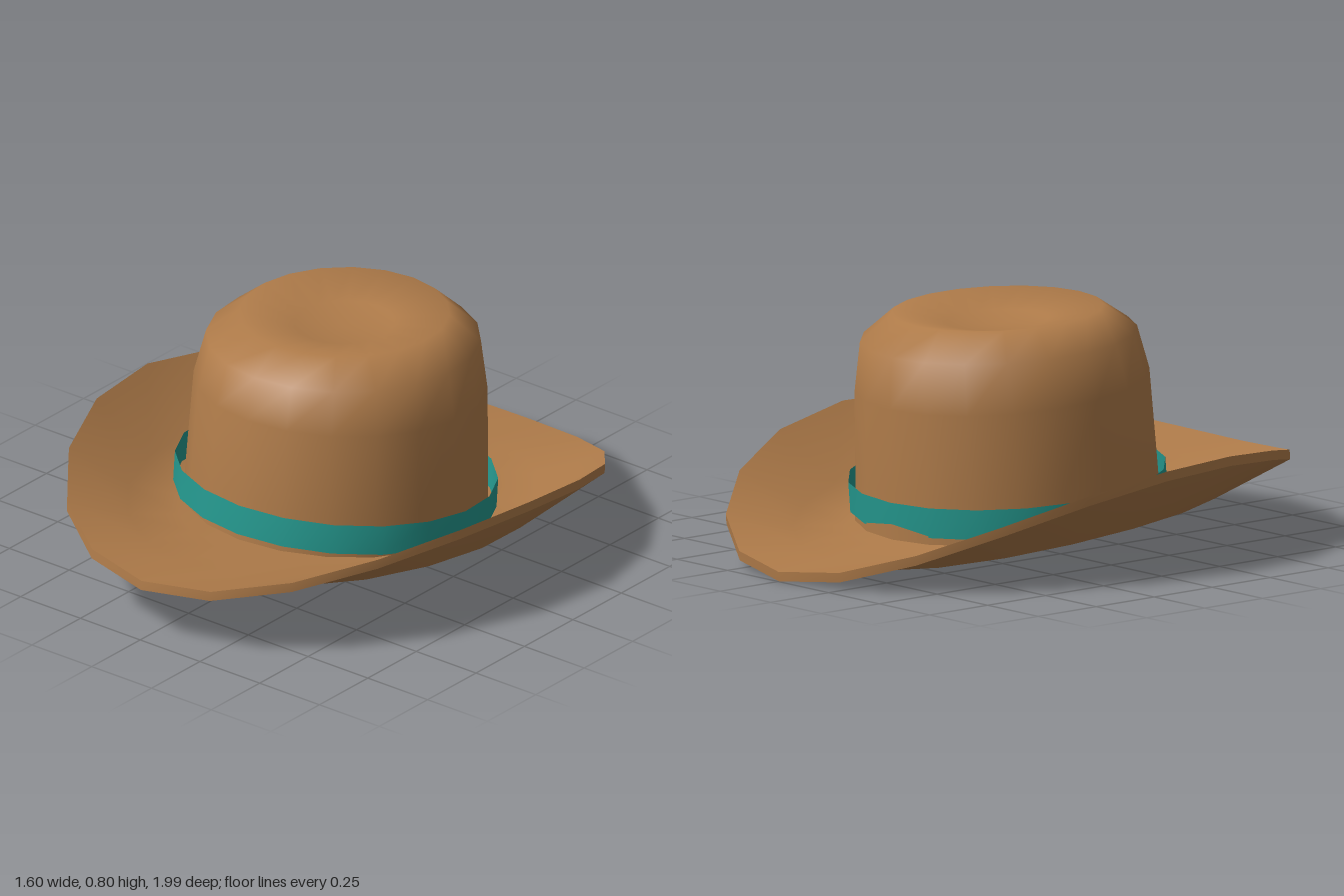
import * as THREE from 'three';
import { mergeVertices } from 'three/addons/utils/BufferGeometryUtils.js';

const SIDES = 20;

// Skins a stack of rings; each ring is a function (sin, cos) -> [x, y, z].
function loft(rings) {
  const positions = [], index = [];
  rings.forEach((ring, i) => {
    for (let j = 0; j < SIDES; j++) {
      const a = (j / SIDES) * Math.PI * 2;
      positions.push(...ring(Math.sin(a), Math.cos(a)));
      if (i === rings.length - 1) continue;
      const k = (j + 1) % SIDES, p = i * SIDES, q = p + SIDES;
      index.push(p + j, p + k, q + k, p + j, q + k, q + j);
    }
  });
  let geometry = new THREE.BufferGeometry();
  geometry.setAttribute('position', new THREE.Float32BufferAttribute(positions, 3));
  geometry.setIndex(index);
  geometry = mergeVertices(geometry, 1e-4);
  geometry.computeVertexNormals();
  return geometry;
}

function part(name, geometry, material, parent) {
  const mesh = new THREE.Mesh(geometry, material);
  mesh.name = name;
  parent.add(mesh);
  return mesh;
}

// Brim ring at fraction t of the oval; the sides curl up beyond the flat middle.
function brimRing(t, lift) {
  const curl = 0.235 * Math.pow(Math.max(0, (t - 0.58) / 0.42), 2);
  return (s, c) => [0.8 * t * s, lift + curl * s * s, t * c];
}

// Crown ring: height, half width, half depth, centre z, slope towards the front.
function crownRing([y, rx, rz, cz, slope]) {
  return (s, c) => [rx * s, y + slope * rz * c, cz + rz * c];
}

export function createModel() {
  const felt = new THREE.MeshStandardMaterial({ color: 0xb07c4a });
  felt.name = 'brown felt';
  const ribbon = new THREE.MeshStandardMaterial({ color: 0x25998f, side: THREE.DoubleSide });
  ribbon.name = 'teal ribbon';

  const hat = new THREE.Group();
  hat.name = 'hat';

  // Brim and band lean back together
  const base = new THREE.Group();
  base.name = 'brimAndBand';
  base.position.y = 0.09;
  base.rotation.x = -0.09;
  hat.add(base);

  const steps = [0, 0.3, 0.58, 0.77, 1];
  const thick = 0.032;
  part('brimUnderside', loft(steps.map(t => brimRing(t, 0))), felt, base);
  part('brimEdge', loft([brimRing(1, 0), brimRing(1, thick)]), felt, base);
  part('brimTop', loft([...steps].reverse().map(t => brimRing(t, thick))), felt, base);

  // Ribbon standing slightly off the crown at the sides
  const bandRing = y => (s, c) => [0.54 * s, y, 0.505 * c];
  part('hatBand', loft([bandRing(0.055), bandRing(0.155)]), ribbon, base);

  // Crown with rounded shoulder and dented top
  part('crown', loft([
    [0.11, 0.495, 0.5, -0.01, 0.09],
    [0.27, 0.488, 0.493, -0.018, 0.09],
    [0.545, 0.475, 0.485, -0.035, 0.08],
    [0.7, 0.44, 0.46, -0.05, 0.049],
    [0.783, 0.335, 0.355, -0.055, 0.035],
    [0.745, 0.16, 0.17, -0.055, 0.03],
    [0.73, 0, 0, -0.055, 0],
  ].map(crownRing)), felt, hat);

  return hat;
}
